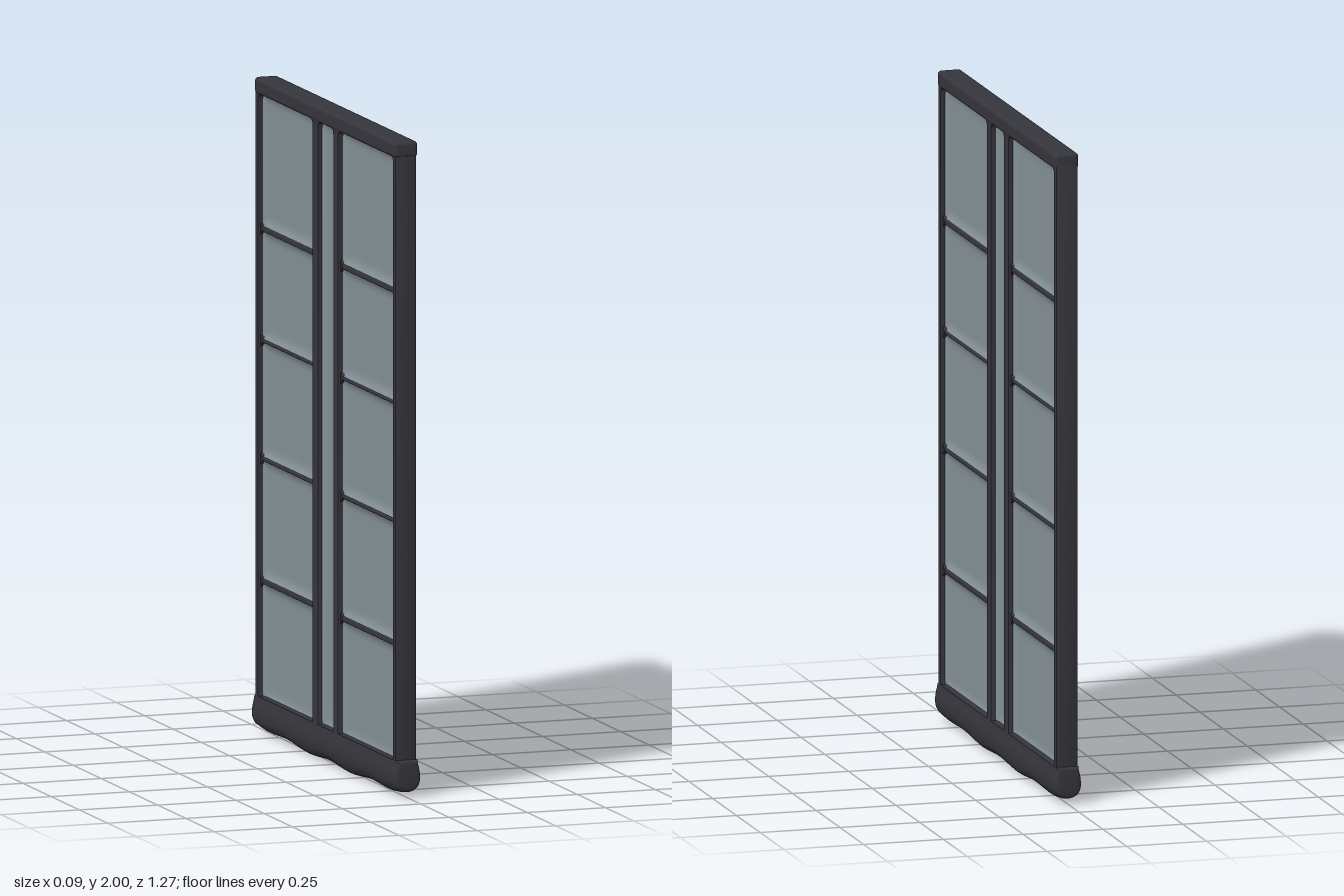
import * as THREE from 'three';
import { toCreasedNormals } from 'three/addons/utils/BufferGeometryUtils.js';
import { RoundedBoxGeometry } from 'three/addons/geometries/RoundedBoxGeometry.js';

// Openings of the three columns as [zMin, zMax], and the rows of the outer columns as [yMin, yMax]
const COLUMNS = { left: [0.112, 0.596], middle: [-0.068, 0.066], right: [-0.596, -0.118] };
const ROWS = [[0.105, 0.458], [0.474, 0.833], [0.845, 1.194], [1.204, 1.532], [1.548, 1.95]];
const BOTTOM = 0.105, TOP = 1.95;

function roundedRect(path, x0, y0, x1, y1, r) {
  path.moveTo(x0 + r, y0);
  path.lineTo(x1 - r, y0);
  path.quadraticCurveTo(x1, y0, x1, y0 + r);
  path.lineTo(x1, y1 - r);
  path.quadraticCurveTo(x1, y1, x1 - r, y1);
  path.lineTo(x0 + r, y1);
  path.quadraticCurveTo(x0, y1, x0, y1 - r);
  path.lineTo(x0, y0 + r);
  path.quadraticCurveTo(x0, y0, x0 + r, y0);
  return path;
}

// Shallow recessed face whose border curls up towards the frame
function paneFace(width, height) {
  const geo = new THREE.PlaneGeometry(width, height, Math.round(width / 0.012), Math.round(height / 0.012));
  const p = geo.attributes.position;
  for (let i = 0; i < p.count; i++) {
    const edge = Math.min(width / 2 - Math.abs(p.getX(i)), height / 2 - Math.abs(p.getY(i)));
    const t = Math.max(0, 1 - edge / 0.03);
    p.setZ(i, 0.01 + 0.012 * t * t);
  }
  geo.computeVertexNormals();
  return geo;
}

export function createModel() {
  const model = new THREE.Group();
  const frameMat = new THREE.MeshStandardMaterial({ color: 0x35353c });
  frameMat.name = 'dark frame';
  const glassMat = new THREE.MeshStandardMaterial({ color: 0x849197 });
  glassMat.name = 'grey glass';

  const add = (name, geo, mat, x = 0, y = 0, z = 0) => {
    const mesh = new THREE.Mesh(geo, mat);
    mesh.name = name;
    mesh.position.set(x, y, z);
    model.add(mesh);
    return mesh;
  };

  // Main frame with three tall openings
  const outline = roundedRect(new THREE.Shape(), -0.622, 0.04, 0.62, 1.995, 0.015);
  for (const [z0, z1] of Object.values(COLUMNS)) {
    outline.holes.push(roundedRect(new THREE.Path(), z0, BOTTOM, z1, TOP, 0.018));
  }
  const frame = new THREE.ExtrudeGeometry(outline, {
    depth: 0.056, bevelThickness: 0.007, bevelSize: 0.007, bevelOffset: -0.007, bevelSegments: 2, curveSegments: 4,
  });
  frame.translate(0, 0, -0.028).rotateY(-Math.PI / 2);
  add('frame', toCreasedNormals(frame, 0.6), frameMat);

  // Slightly thicker top rail
  add('topRail', new RoundedBoxGeometry(0.076, 0.05, 1.244, 3, 0.012), frameMat, 0, 1.975, 0);

  // Bulging bottom rail with a gently wavy underside
  const profile = new THREE.Shape();
  profile.moveTo(-0.035, 0.115);
  profile.bezierCurveTo(-0.036, 0.095, -0.043, 0.09, -0.043, 0.06);
  profile.bezierCurveTo(-0.043, 0.025, -0.025, 0.01, 0, 0.01);
  profile.bezierCurveTo(0.025, 0.01, 0.043, 0.025, 0.043, 0.06);
  profile.bezierCurveTo(0.043, 0.09, 0.036, 0.095, 0.035, 0.115);
  const rail = new THREE.ExtrudeGeometry(profile, {
    depth: 1.246, steps: 48, bevelThickness: 0.013, bevelSize: 0.013, bevelOffset: -0.013, bevelSegments: 3, curveSegments: 8,
  });
  rail.translate(0, 0, -0.623);
  const p = rail.attributes.position;
  for (let i = 0; i < p.count; i++) {
    const y = p.getY(i), z = p.getZ(i);
    const low = Math.max(0, 1 - y / 0.06);
    const wave = 0.006 * Math.cos(z * 17) - 0.004 + 0.016 * Math.abs(z / 0.63) ** 3;
    p.setY(i, Math.max(0, y + low * wave));
  }
  add('bottomRail', toCreasedNormals(rail, 0.7), frameMat);

  // Panes, each with one face per side
  const addPane = (name, [z0, z1], [y0, y1]) => {
    const geo = paneFace(z1 - z0 + 0.008, y1 - y0 + 0.008);
    for (const side of [1, -1]) {
      add(name, geo, glassMat, 0, (y0 + y1) / 2, (z0 + z1) / 2).rotation.y = side * Math.PI / 2;
    }
  };
  addPane('middlePane', COLUMNS.middle, [BOTTOM, TOP]);

  for (const side of ['left', 'right']) {
    const [z0, z1] = COLUMNS[side];
    ROWS.forEach((row, i) => {
      addPane(side + 'Pane', [z0, z1], row);
      if (i === 0) return;
      // Thin glazing bar below this pane, flaring where it meets the frame
      const y0 = ROWS[i - 1][1], y1 = row[0], y = (y0 + y1) / 2;
      add(side + 'Bar', new RoundedBoxGeometry(0.05, y1 - y0, z1 - z0 + 0.01, 2, 0.004), frameMat, 0, y, (z0 + z1) / 2);
      for (const z of [z0, z1]) {
        const flare = new THREE.CylinderGeometry(0.017, 0.017, 0.052, 4).rotateZ(Math.PI / 2);
        add(side + 'BarFlare', toCreasedNormals(flare, 0.5), frameMat, 0, y, z);
      }
    });
  }
  return model;
}
